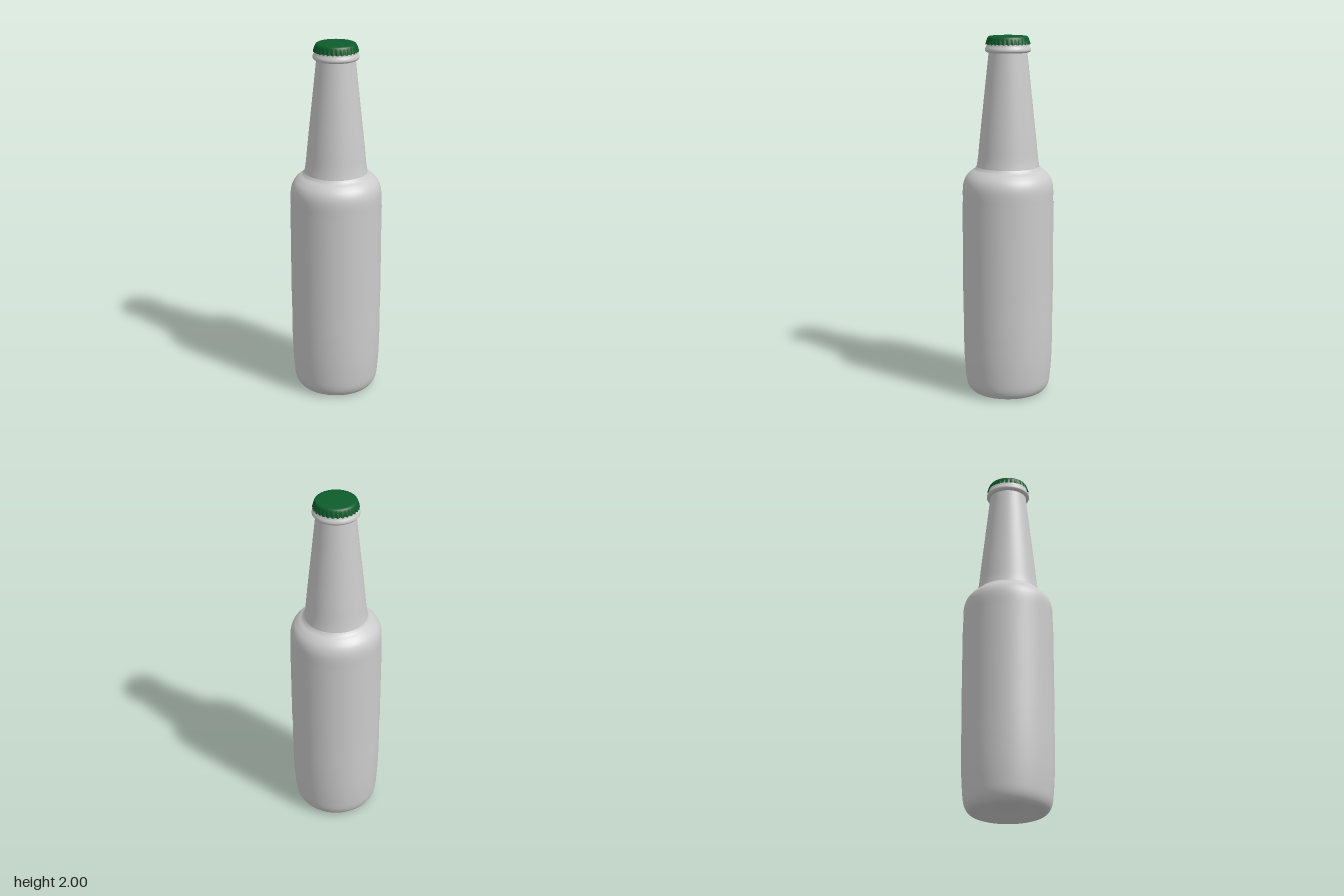
import * as THREE from 'three';

const grey = new THREE.MeshStandardMaterial({ color: 0xcccccc, side: THREE.DoubleSide });
const green = new THREE.MeshStandardMaterial({ color: 0x0d5c2b, side: THREE.DoubleSide });

const toPoints = (pairs) => pairs.map(([r, y]) => new THREE.Vector2(r, y));

// Smooth curve through a few [radius, height] pairs
const smooth = (pairs, n) =>
  new THREE.SplineCurve(toPoints(pairs)).getPoints(n).map((p) => p.set(Math.max(p.x, 0), Math.max(p.y, 0)));

function turned(name, points, material = grey, segments = 96) {
  const mesh = new THREE.Mesh(new THREE.LatheGeometry(points, segments), material);
  mesh.name = name;
  return mesh;
}

// Crown cap: a turned shell whose skirt is crimped into flutes
function bottleCap() {
  const profile = smooth([[0, 2], [0.05, 2], [0.09, 1.999], [0.104, 1.996], [0.111, 1.988], [0.116, 1.972], [0.12, 1.955]], 28);
  const cap = turned('cap', profile, green, 240);
  const pos = cap.geometry.attributes.position;
  const flutes = 30;
  for (let i = 0; i < pos.count; i++) {
    const x = pos.getX(i), y = pos.getY(i), z = pos.getZ(i);
    const depth = THREE.MathUtils.smoothstep(1.993 - y, 0, 0.03);
    const wave = Math.cos(flutes * Math.atan2(z, x));
    const s = 1 + 0.022 * depth * wave;
    pos.setXYZ(i, x * s, y - 0.002 * depth * wave, z * s);
  }
  cap.geometry.computeVertexNormals();
  return cap;
}

export function createModel() {
  const bottle = new THREE.Group();
  bottle.name = 'bottle';

  // Hollowed underside, rounded heel and straight wall up to the shoulder
  const base = smooth([
    [0, 0.035], [0.03, 0.04], [0.08, 0.036], [0.13, 0.016], [0.165, 0.002], [0.19, 0.003],
    [0.215, 0.018], [0.233, 0.055], [0.241, 0.12], [0.247, 0.22], [0.25, 0.36], [0.25, 0.5],
  ], 60);
  const shoulder = smooth([
    [0.25, 1.1], [0.25, 1.16], [0.245, 1.2], [0.231, 1.233], [0.207, 1.259], [0.185, 1.275], [0.173, 1.29],
  ], 30);
  bottle.add(turned('body', [...base, ...shoulder]));

  // Tapered neck, with a slight flare where it meets the shoulder
  bottle.add(turned('neck', smooth([
    [0.173, 1.29], [0.165, 1.34], [0.154, 1.45], [0.138, 1.6], [0.122, 1.75], [0.106, 1.9], [0.104, 1.93],
  ], 36)));

  // Collar and closed lip beneath the cap
  bottle.add(turned('collar', [
    ...smooth([[0.104, 1.911], [0.115, 1.912], [0.124, 1.921], [0.123, 1.933], [0.117, 1.945], [0.114, 1.958]], 20),
    ...toPoints([[0.107, 1.978], [0.09, 1.99], [0, 1.99]]),
  ]));

  // Thin label wrapped around the straight wall
  bottle.add(turned('label', toPoints([[0.252, 0.58], [0.252, 1.09]])));

  bottle.add(bottleCap());
  return bottle;
}
